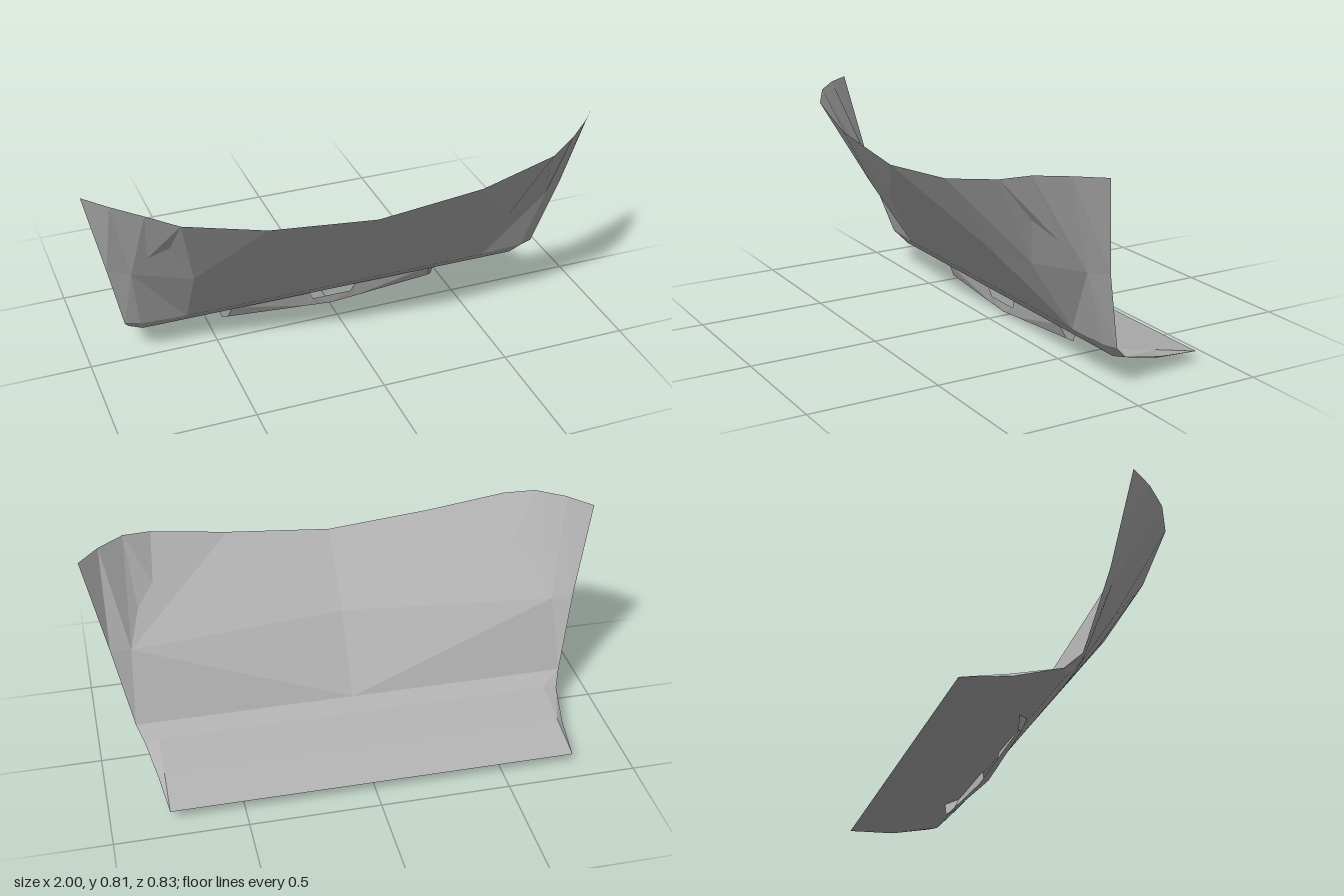
import * as THREE from 'three';

// Joins half-rows of [x, y, z] points (x from 0 to the rim, bottom row first)
// with triangles, then mirrors them across x = 0.
function skin(rows, inward = false) {
  const out = [];
  const add = (a, b, c) => {
    const [p, q, r] = inward ? [a, c, b] : [a, b, c];
    const m = (v) => [-v[0], v[1], v[2]];
    out.push(...p, ...q, ...r, ...m(p), ...m(r), ...m(q));
  };
  const dist = (a, b) => Math.hypot(a[0] - b[0], a[1] - b[1], a[2] - b[2]);
  for (let k = 0; k + 1 < rows.length; k++) {
    const A = rows[k], B = rows[k + 1];
    let i = 0, j = 0;
    while (i < A.length - 1 || j < B.length - 1) {
      const canA = i < A.length - 1, canB = j < B.length - 1;
      if (canA && (!canB || dist(A[i + 1], B[j]) <= dist(A[i], B[j + 1]))) {
        add(A[i], A[i + 1], B[j]);
        i++;
      } else {
        add(A[i], B[j + 1], B[j]);
        j++;
      }
    }
  }
  const g = new THREE.BufferGeometry();
  g.setAttribute('position', new THREE.Float32BufferAttribute(out, 3));
  g.computeVertexNormals();
  return g;
}

export function createModel() {
  const group = new THREE.Group();
  const grey = new THREE.MeshStandardMaterial({ color: 0xb2b2b2, side: THREE.DoubleSide, flatShading: true });
  grey.name = 'grey';
  const mesh = (name, geometry) => {
    const m = new THREE.Mesh(geometry, grey);
    m.name = name;
    group.add(m);
  };

  // Rows shared by the outer and inner skins
  const topEdge = [[0, 0.68, 0.42], [0.41, 0.72, 0.415], [0.71, 0.78, 0.38], [0.82, 0.81, 0.32], [0.92, 0.818, 0.23], [1, 0.818, 0.135]];
  const midRim = [0.92, 0.46, 0.07];
  const lowRim = [0.855, 0.16, -0.01];
  const hingeRim = [0.83, 0.108, -0.065];
  const flapRim = [0.8, 0.066, -0.235];
  const backEdge = [[0, 0.045, -0.415], [0.78, 0.045, -0.415]];

  // Faceted outer side of the tall panel
  const outerLow = [[0, 0.16, 0.02], [0.62, 0.16, 0.02], [0.8, 0.16, 0.01], lowRim];
  mesh('outerPanel', skin([
    outerLow,
    [[0, 0.41, 0.21], [0.4, 0.43, 0.225], [0.63, 0.44, 0.2], [0.84, 0.45, 0.11], midRim],
    topEdge,
  ]));

  // Inner side of the tall panel, with fewer and larger facets
  const innerLow = [[0, 0.16, -0.01], lowRim];
  mesh('innerPanel', skin([
    innerLow,
    [[0, 0.44, 0.185], [0.84, 0.44, 0.09], midRim],
    topEdge,
  ], true));

  // Underside of the rear flap, up to the panel's foot
  mesh('flapUnderside', skin([
    backEdge,
    [[0, 0.055, -0.235], [0.78, 0.055, -0.235], flapRim],
    [[0, 0.1, -0.045], [0.78, 0.1, -0.045], hingeRim],
    outerLow,
  ]));

  // Upper face of the rear flap, with sloping side borders
  mesh('flapTop', skin([
    backEdge,
    [[0, 0.085, -0.235], [0.777, 0.085, -0.235], flapRim],
    [[0, 0.12, -0.065], [0.775, 0.12, -0.065], hingeRim],
    innerLow,
  ], true));

  // Bowed lip below the hinge, notched at its centre
  mesh('lipFront', skin([
    [[0, 0.02, -0.065], [0.1, 0.026, -0.068], [0.43, 0.045, -0.08]],
    [[0, 0.06, -0.06], [0.08, 0.06, -0.06], [0.1, 0.1, -0.055], [0.42, 0.1, -0.055]],
  ]));
  mesh('lipUnderside', skin([
    [[0, 0.003, -0.1], [0.45, 0.035, -0.1]],
    [[0, 0.02, -0.065], [0.43, 0.045, -0.08]],
  ]));
  mesh('lipEnds', skin([
    [[0.43, 0.045, -0.08], [0.45, 0.035, -0.1]],
    [[0.42, 0.1, -0.055], [0.47, 0.095, -0.1]],
  ]));

  // Stand on the ground
  group.children.forEach((m) => { m.position.y = -0.003; });
  return group;
}
